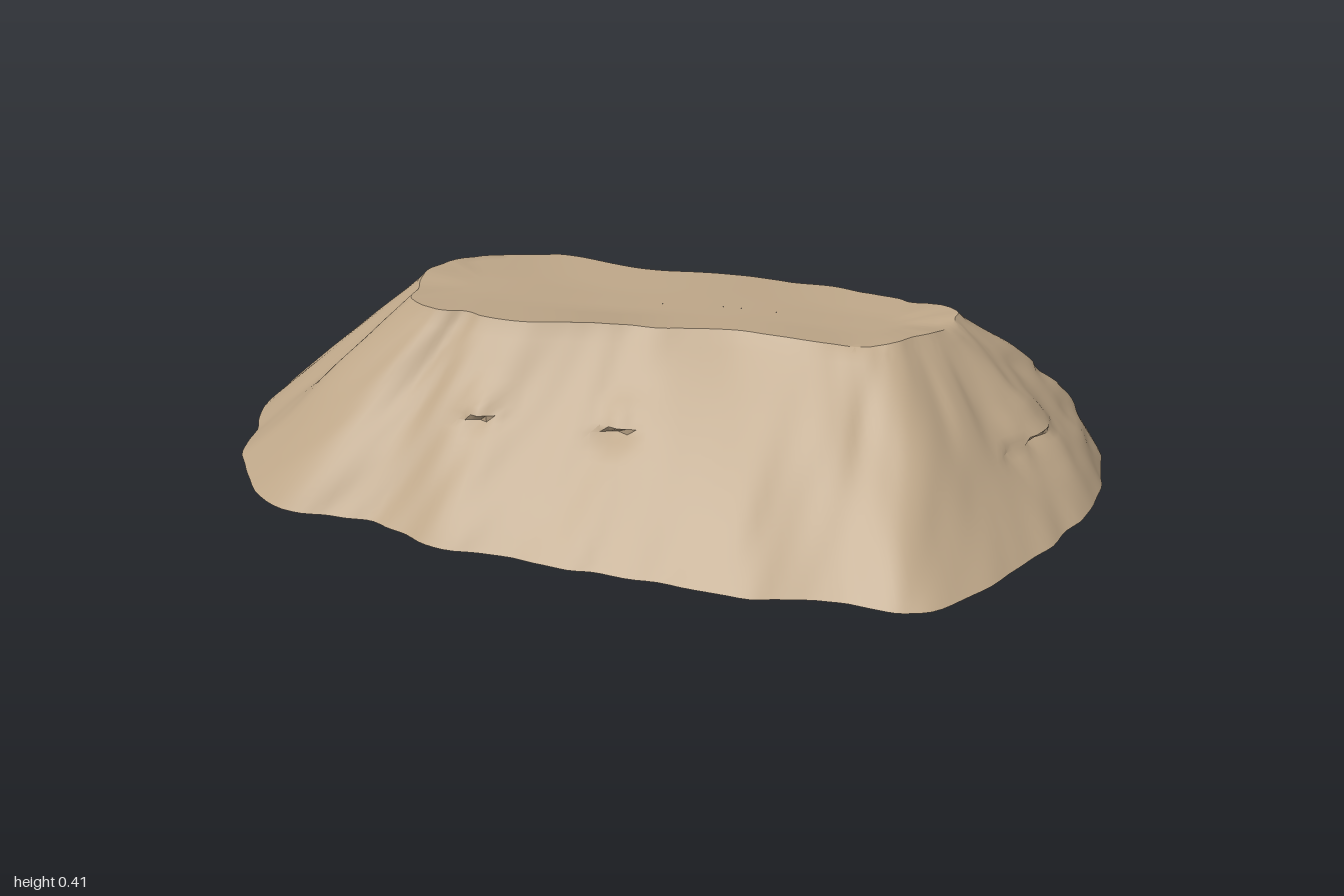
import * as THREE from 'three';
import { toCreasedNormals } from 'three/addons/utils/BufferGeometryUtils.js';

// Foot outline and matching plateau rim: [foot x, foot z, rim x, rim z]
const OUTLINE = [
  [-1, -.22, -.57, -.18], [-.95, -.41, -.55, -.25], [-.89, -.58, -.52, -.32], [-.77, -.69, -.47, -.37],
  [-.6, -.76, -.42, -.4], [-.4, -.72, -.33, -.4], [-.2, -.68, -.2, -.36], [0, -.6, -.06, -.25],
  [.2, -.49, .12, -.17], [.4, -.37, .28, -.08], [.56, -.27, .4, 0], [.72, -.24, .49, .06],
  [.87, -.14, .54, .11], [.98, .06, .6, .16], [1, .2, .61, .2], [.93, .36, .58, .24],
  [.8, .51, .53, .28], [.6, .65, .46, .3], [.36, .75, .38, .31], [.2, .68, .27, .27],
  [0, .61, .1, .17], [-.2, .5, -.1, .1], [-.4, .37, -.25, .05], [-.6, .25, -.38, 0],
  [-.73, .12, -.45, -.06], [-.9, .02, -.53, -.1],
];

// Broken ledges on the slopes: [x, height, z, radius, depth]
const LEDGES = [
  [-.45, .23, .08, .08, .04], [-.17, .23, .23, .08, .04], [.72, .16, .36, .12, .03],
  [.83, .24, .1, .12, .035], [-.17, .25, -.45, .1, .03], [.13, .26, -.27, .1, .035],
  [-.32, .2, -.57, .08, .03], [.62, .2, -.06, .09, .02],
];

const COLS = 240, ROWS = 26, TOP_ROWS = 6, HEIGHT = .405, FOOT = .006;

function hash(x, y) {
  const s = Math.sin(x * 127.1 + y * 311.7) * 43758.5453;
  return s - Math.floor(s);
}

// Smooth value noise in -1..1, repeating every `period` cells along x
function noise(x, y, period) {
  const xi = Math.floor(x), yi = Math.floor(y);
  const fade = (t) => t * t * (3 - 2 * t);
  const u = fade(x - xi), v = fade(y - yi);
  const at = (i, j) => hash(((i % period) + period) % period, j);
  const a = THREE.MathUtils.lerp(at(xi, yi), at(xi + 1, yi), u);
  const b = THREE.MathUtils.lerp(at(xi, yi + 1), at(xi + 1, yi + 1), u);
  return THREE.MathUtils.lerp(a, b, v) * 2 - 1;
}

function loop(ix, iz) {
  const curve = new THREE.CatmullRomCurve3(
    OUTLINE.map((p) => new THREE.Vector3(p[ix], 0, p[iz])), true, 'centripetal');
  return (u) => curve.getPoint(u);
}

// Stitch successive rings of COLS points into triangles
function ringIndex(rows) {
  const index = [];
  for (let r = 0; r < rows; r++) {
    for (let c = 0; c < COLS; c++) {
      const d = (c + 1) % COLS;
      const a = r * COLS + c, b = r * COLS + d;
      index.push(b, a, a + COLS, b, a + COLS, b + COLS);
    }
  }
  return index;
}

function buildGeometry(positions, index) {
  const geometry = new THREE.BufferGeometry();
  geometry.setAttribute('position', new THREE.Float32BufferAttribute(positions, 3));
  geometry.setIndex(index);
  return geometry;
}

export function createModel() {
  const group = new THREE.Group();
  group.name = 'rockMesa';
  const sandstone = new THREE.MeshStandardMaterial({ color: 0xbda688 });
  sandstone.name = 'sandstone';

  const foot = loop(0, 1), rim = loop(2, 3);
  const spine = new THREE.Line3(new THREE.Vector3(-.37, 0, -.2), new THREE.Vector3(.42, 0, .19));
  const positions = [];

  // Sloping flanks with gullies that run down from the rim
  for (let r = 0; r <= ROWS; r++) {
    const t = r / ROWS;
    for (let c = 0; c < COLS; c++) {
      const u = c / COLS;
      const a = foot(u), b = rim(u);
      const out = a.clone().sub(b).normalize();
      const p = a.lerp(b, t);
      p.y = FOOT + t * (HEIGHT - FOOT);
      const mid = Math.sin(Math.PI * t);
      const rightEnd = Math.max(0, 1 - Math.abs(u - .52) / .1);
      let push = .05 * rightEnd * mid;
      push += noise(u * 34, t * 1.5, 34) * (.008 + .014 * mid);
      push += noise(u * 90 + t * 3, t * 3 + 7, 90) * .007 * (1 - .6 * t);
      push += noise(u * 60, t * 9 + 20, 60) * .014 * rightEnd * mid;
      for (const [x, y, z, radius, depth] of LEDGES) {
        const d = Math.hypot(p.x - x, p.y - y, p.z - z) / radius;
        // overhang above, hollow beneath
        if (d < 1) push += depth * (1 - d) * (p.y > y ? .5 : -1) * (.7 + .6 * noise(u * 120, t * 10, 120));
      }
      p.addScaledVector(out, push);
      if (r === ROWS) p.y += noise(u * 24, 3, 24) * .007;
      positions.push(p.x, p.y, p.z);
    }
  }

  // Nearly level plateau, closing on a central spine
  const centre = new THREE.Vector3(), p = new THREE.Vector3();
  for (let r = 1; r <= TOP_ROWS; r++) {
    const k = r / TOP_ROWS;
    for (let c = 0; c < COLS; c++) {
      const i = (ROWS * COLS + c) * 3;
      p.fromArray(positions, i);
      const edge = p.y;
      spine.closestPointToPoint(p.clone().setY(0), true, centre);
      p.lerp(centre, k);
      const wave = HEIGHT - .004 + .005 * Math.sin(p.x * 9 + p.z * 6);
      p.y = THREE.MathUtils.lerp(edge, wave, Math.min(1, k * 1.5));
      positions.push(p.x, p.y, p.z);
    }
  }
  const shell = buildGeometry(positions, ringIndex(ROWS + TOP_ROWS));
  const rock = new THREE.Mesh(toCreasedNormals(shell, .6), sandstone);
  rock.name = 'rockBody';
  group.add(rock);

  // Flat underside following the foot of the slopes
  const under = positions.slice(0, COLS * 3).concat([0, FOOT, 0]);
  const fan = [];
  for (let c = 0; c < COLS; c++) fan.push(COLS, c, (c + 1) % COLS);
  const baseGeometry = buildGeometry(under, fan);
  baseGeometry.computeVertexNormals();
  const base = new THREE.Mesh(baseGeometry, sandstone);
  base.name = 'underside';
  group.add(base);

  return group;
}
